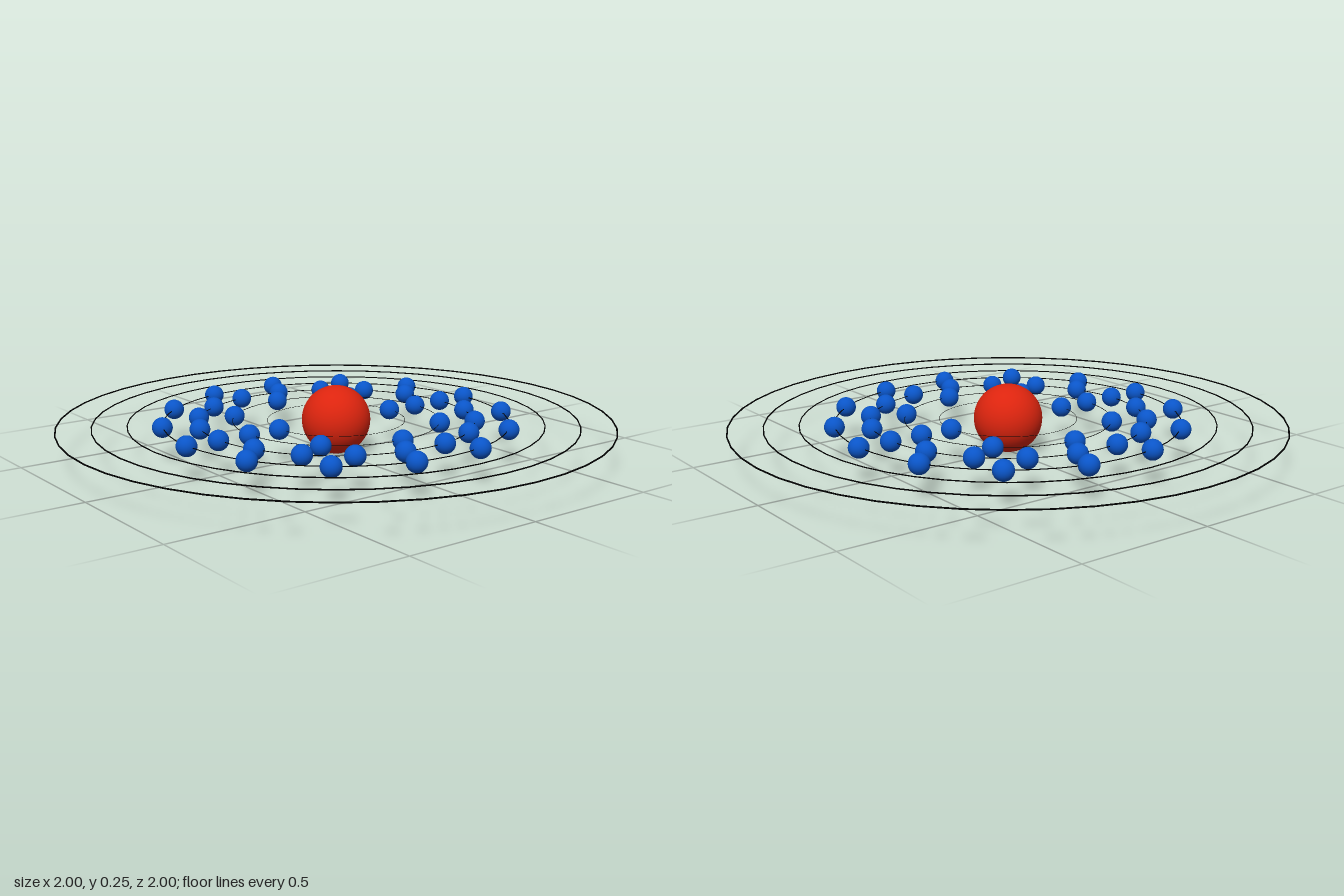
import * as THREE from 'three';

const paint = (color) => new THREE.MeshStandardMaterial({ color });

export function createModel() {
  const model = new THREE.Group();
  const centerY = 0.125;
  const spacing = 0.125;
  const red = paint(0xdc240e), blue = paint(0x0a55c8), black = paint(0x000000);

  // Nucleus
  const nucleus = new THREE.Mesh(new THREE.SphereGeometry(0.124, 48, 32), red);
  nucleus.name = 'nucleus';
  nucleus.position.y = centerY;
  model.add(nucleus);

  // Seven orbit rings, with evenly spaced electrons on the inner four
  const electronGeometry = new THREE.SphereGeometry(0.0365, 24, 16);
  const electronCounts = [2, 8, 18, 14, 0, 0, 0];
  electronCounts.forEach((count, i) => {
    const radius = spacing * (i + 2);
    const shell = new THREE.Group();
    shell.name = `shell${i + 1}`;
    shell.position.y = centerY;

    // Wire thickness grows with the orbit
    const tube = 0.0028 * radius;
    const orbit = new THREE.Mesh(new THREE.TorusGeometry(radius - tube, tube, 8, 48), black);
    orbit.name = 'orbit';
    orbit.rotation.x = Math.PI / 2;
    shell.add(orbit);

    for (let k = 0; k < count; k++) {
      const angle = (k / count) * Math.PI * 2;
      const electron = new THREE.Mesh(electronGeometry, blue);
      electron.name = 'electron';
      electron.position.set(radius * Math.sin(angle), 0, -radius * Math.cos(angle));
      shell.add(electron);
    }
    model.add(shell);
  });

  return model;
}
